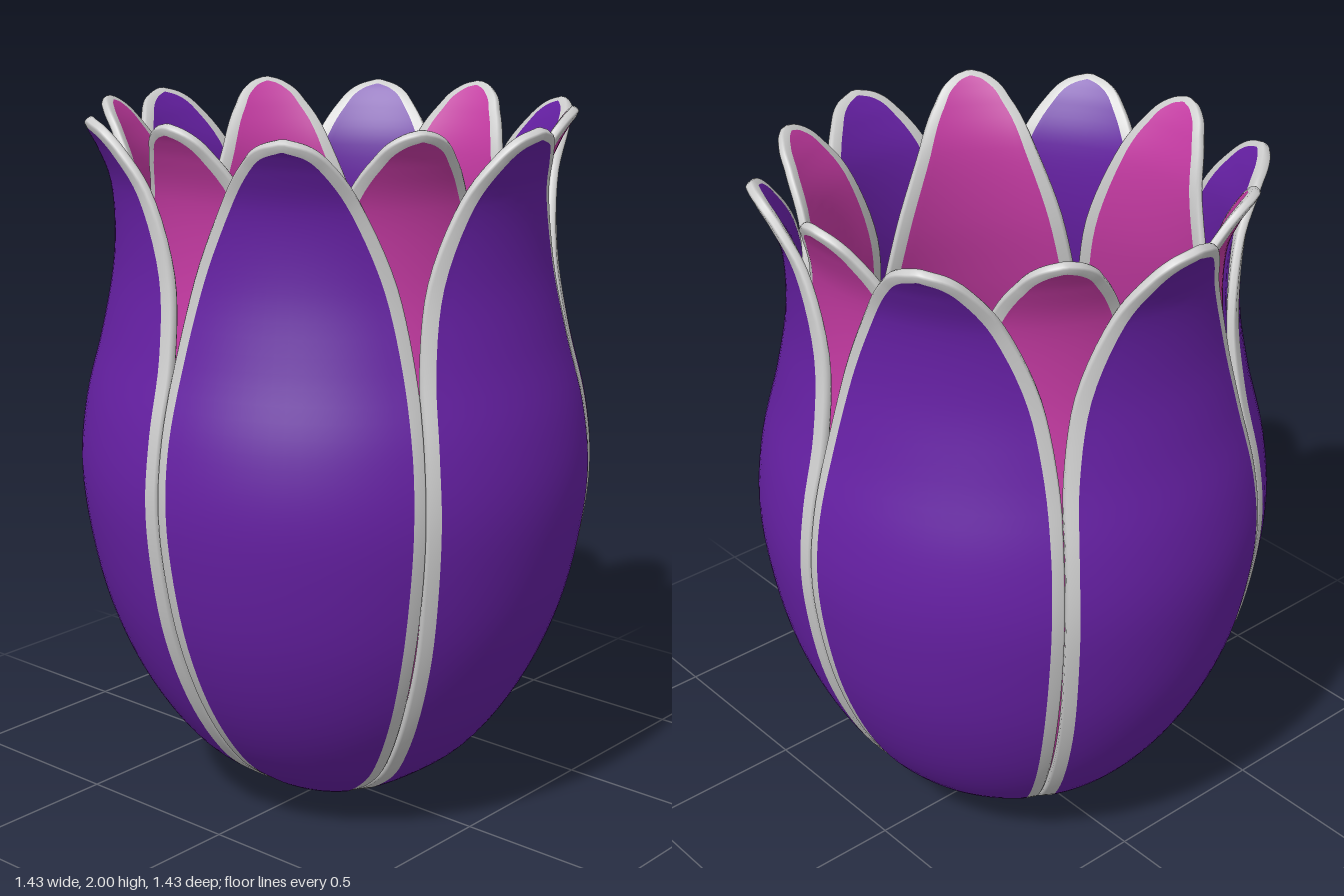
import * as THREE from 'three';

const PURPLE = 0x6620a4, PINK = 0xc43aa2, GREY = 0xcccccc, BLACK = 0x0c0c0c;

// Petal profile from base to tip: radius, height, half angle in degrees
const PROFILE = [
  [0.08, 0.008, 17], [0.18, 0.045, 19.5], [0.30, 0.115, 22.5], [0.42, 0.21, 24.5],
  [0.55, 0.39, 25.7], [0.65, 0.62, 26.3], [0.703, 0.86, 26.8], [0.716, 1.03, 27],
  [0.697, 1.2, 27], [0.646, 1.4, 26], [0.61, 1.6, 22.5], [0.614, 1.8, 14.5],
  [0.65, 1.9, 8.5], [0.672, 1.94, 5], [0.686, 1.96, 0.3],
];
const HALF_SECTOR = THREE.MathUtils.degToRad(29.8);

const material = (color) =>
  new THREE.MeshStandardMaterial({ color, side: THREE.DoubleSide });

// Smooth surface through a grid of points
function gridGeometry(rows) {
  const cols = rows[0].length;
  const index = [];
  for (let i = 0; i < rows.length - 1; i++) {
    for (let j = 0; j < cols - 1; j++) {
      const a = i * cols + j, c = a + cols;
      index.push(a, a + 1, c + 1, a, c + 1, c);
    }
  }
  const geometry = new THREE.BufferGeometry().setFromPoints(rows.flat());
  geometry.setIndex(index);
  geometry.computeVertexNormals();
  return geometry;
}

// Profile samples with outward normals
function sampleProfile() {
  const curve = new THREE.CatmullRomCurve3(
    PROFILE.map(([r, y, a]) => new THREE.Vector3(r, y, THREE.MathUtils.degToRad(a))));
  const pts = curve.getPoints(70);
  return pts.map((p, i) => {
    const t = pts[Math.min(i + 1, pts.length - 1)].clone().sub(pts[Math.max(i - 1, 0)]);
    const len = Math.hypot(t.x, t.y);
    return { r: p.x, y: p.y, a: p.z, nr: t.y / len, ny: -t.x / len };
  });
}

// Point of the petal at an angle, moved along the surface normal
function petalPoint(s, angle, offset) {
  const r = s.r + s.nr * offset;
  return new THREE.Vector3(r * Math.sin(angle), s.y + s.ny * offset, r * Math.cos(angle));
}

// Rim is full width along the sides, thinner round the tip, and stops at the next petal
function rimWidthAt(s, inset, rimWidth) {
  const taper = 0.55 + 0.45 * Math.min(1, s.a / 0.4);
  return Math.min(rimWidth * taper, (s.r - inset) * (HALF_SECTOR - s.a));
}

// Outer face, inner face and bevelled rim of one petal
function petalGeometries(samples, inset, thickness, rimWidth) {
  const COLS = 16;
  const face = (offset, dir) => gridGeometry(samples.map((s) =>
    Array.from({ length: COLS + 1 }, (_, j) =>
      petalPoint(s, dir * s.a * (2 * j / COLS - 1), offset))));

  // Edge loop: up one side, over the tip, down the other
  const loop = [
    ...samples.map((s) => ({ s, angle: s.a })),
    ...[...samples].reverse().map((s) => ({ s, angle: -s.a })),
  ];
  const edge = loop.map((e) => petalPoint(e.s, e.angle, -inset));
  // Cross-section of the rim: share of width outward, share of thickness inward
  const section = [[0, 0], [0.85, 0.12], [1, 0.3], [1, 0.7], [0.85, 0.88], [0, 1]];
  const rim = loop.map(({ s, angle }, i) => {
    const tangent = edge[Math.min(i + 1, edge.length - 1)].clone()
      .sub(edge[Math.max(i - 1, 0)]).normalize();
    const normal = new THREE.Vector3(s.nr * Math.sin(angle), s.ny, s.nr * Math.cos(angle));
    const out = tangent.cross(normal).normalize();
    const width = rimWidthAt(s, inset, rimWidth);
    return section.map(([w, t]) =>
      petalPoint(s, angle, -inset - thickness * t).addScaledVector(out, width * w));
  });
  return {
    OuterFace: face(-inset, 1),
    InnerFace: face(-inset - thickness, -1),
    Rim: gridGeometry(rim),
  };
}

// Ring of six petals
function petalRing(name, geometries, color, startAngle) {
  const ring = new THREE.Group();
  ring.name = name + 'Ring';
  const faceMaterial = material(color), rimMaterial = material(GREY);
  for (let i = 0; i < 6; i++) {
    const petal = new THREE.Group();
    petal.name = name + (i + 1);
    for (const [part, geometry] of Object.entries(geometries)) {
      const mesh = new THREE.Mesh(geometry, part === 'Rim' ? rimMaterial : faceMaterial);
      mesh.name = name + part;
      petal.add(mesh);
    }
    petal.rotation.y = startAngle + i * Math.PI / 3;
    ring.add(petal);
  }
  return ring;
}

export function createModel() {
  const model = new THREE.Group();
  model.name = 'tulipFlower';
  const samples = sampleProfile();

  // Outer petals, one facing the front
  model.add(petalRing('outerPetal', petalGeometries(samples, 0, 0.033, 0.037), PURPLE, 0));

  // Inner petals, slightly lower and nested behind the gaps
  const innerSamples = samples.map((s) => ({ ...s, y: s.y * 0.995 }));
  model.add(petalRing('innerPetal',
    petalGeometries(innerSamples, 0.045, 0.03, 0.036), PINK, Math.PI / 6));

  // Dark disc on the floor of the cup
  const disc = new THREE.Mesh(new THREE.CylinderGeometry(0.22, 0.19, 0.03, 48), material(BLACK));
  disc.name = 'cupFloor';
  disc.position.y = 0.145;
  model.add(disc);

  return model;
}
